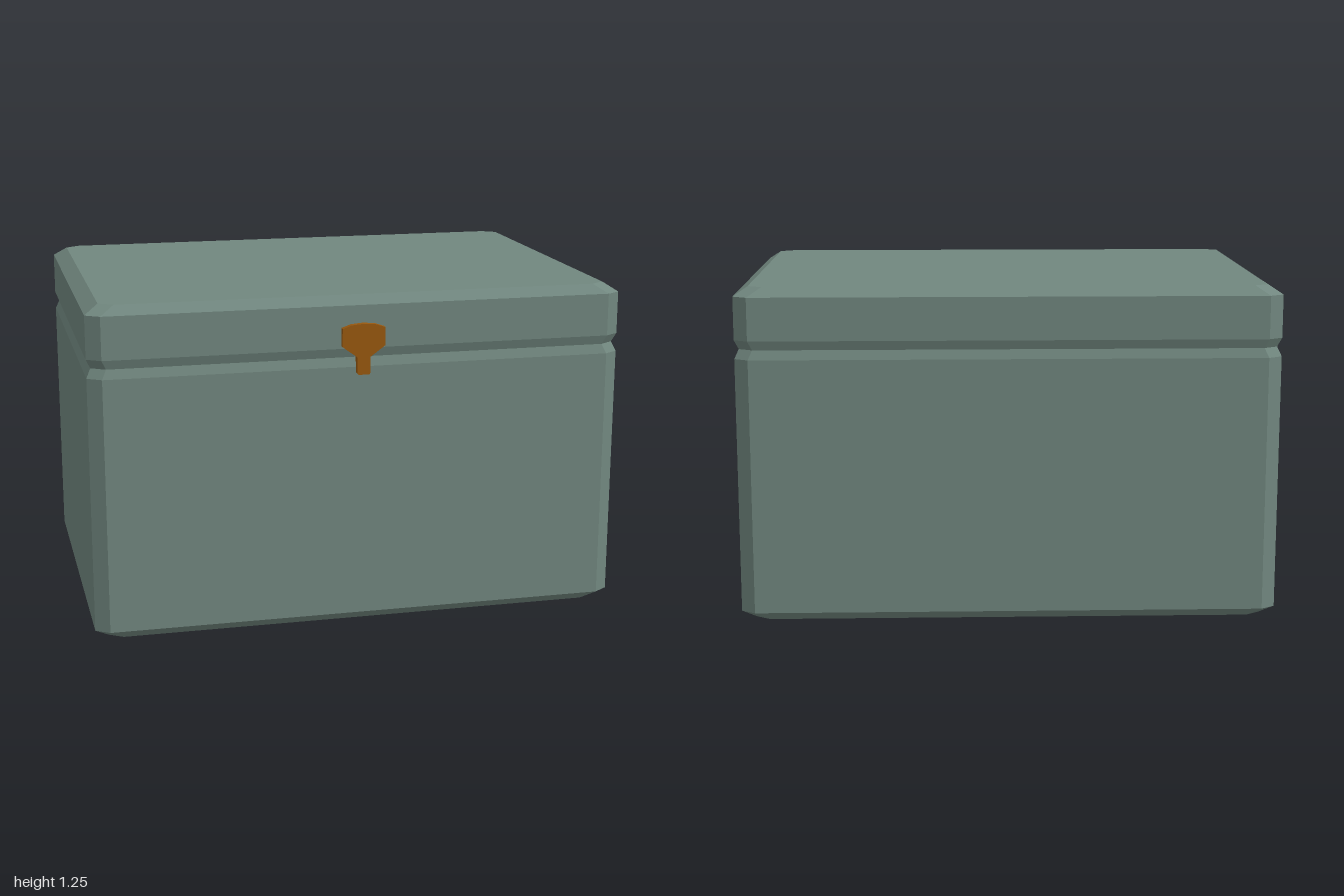
import * as THREE from 'three';

const HALF_X = 1, HALF_Z = 0.694, CENTRE_Z = -0.009;
const CUT_X = 0.052, CUT_Z = 0.035;

// Octagonal outline of the box with cut corners, inset by dx and dz at height y
function ring(y, dx, dz) {
  const x = HALF_X - dx, z = HALF_Z - dz, cx = x - CUT_X, cz = z - CUT_Z;
  return [[x, -cz], [x, cz], [cx, z], [-cx, z], [-x, cz], [-x, -cz], [-cx, -z], [cx, -z]]
    .map(([px, pz]) => [px, y, pz + CENTRE_Z]);
}

// Closed solid through rings listed from bottom to top
function loft(rings) {
  const pos = [], n = 8;
  const tri = (a, b, c) => pos.push(...a, ...b, ...c);
  for (let r = 0; r < rings.length - 1; r++) {
    const lo = rings[r], hi = rings[r + 1];
    for (let i = 0; i < n; i++) {
      const j = (i + 1) % n;
      tri(lo[i], hi[i], hi[j]);
      tri(lo[i], hi[j], lo[j]);
    }
  }
  const bottom = rings[0], top = rings[rings.length - 1];
  for (let i = 1; i < n - 1; i++) {
    tri(bottom[0], bottom[i], bottom[i + 1]);
    tri(top[0], top[i + 1], top[i]);
  }
  const geo = new THREE.BufferGeometry();
  geo.setAttribute('position', new THREE.Float32BufferAttribute(pos, 3));
  geo.computeVertexNormals();
  return geo;
}

export function createModel() {
  const group = new THREE.Group();
  const paint = new THREE.MeshStandardMaterial({ name: 'grey green', color: 0x71877f, flatShading: true });
  const brass = new THREE.MeshStandardMaterial({ name: 'bronze', color: 0x98580f, flatShading: true });

  const add = (name, geo, mat) => {
    const mesh = new THREE.Mesh(geo, mat);
    mesh.name = name;
    group.add(mesh);
  };

  // Body, bevelled at the base and towards the groove
  add('body', loft([
    ring(0, 0.052, 0.035), ring(0.034, 0, 0), ring(0.988, 0, 0), ring(1.023, 0.016, 0.011),
  ]), paint);

  // Lid, bevelled towards the groove and at the top
  add('lid', loft([
    ring(1.023, 0.016, 0.011), ring(1.057, 0, 0), ring(1.216, 0, 0), ring(1.25, 0.052, 0.035),
  ]), paint);

  // Latch: a wide plate with an arched top and a narrow tongue
  const half = [[0.02, 0.962], [0.024, 0.967], [0.024, 1.027], [0.08, 1.068], [0.08, 1.135], [0.045, 1.147]];
  const outline = [...half, [0, 1.151], ...half.map(([x, y]) => [-x, y]).reverse()];
  const shape = new THREE.Shape(outline.map(([x, y]) => new THREE.Vector2(x, y)));
  const latch = new THREE.ExtrudeGeometry(shape, { depth: 0.0365, bevelEnabled: false });
  latch.translate(0, 0, 0.6705);
  add('latch', latch, brass);

  return group;
}
